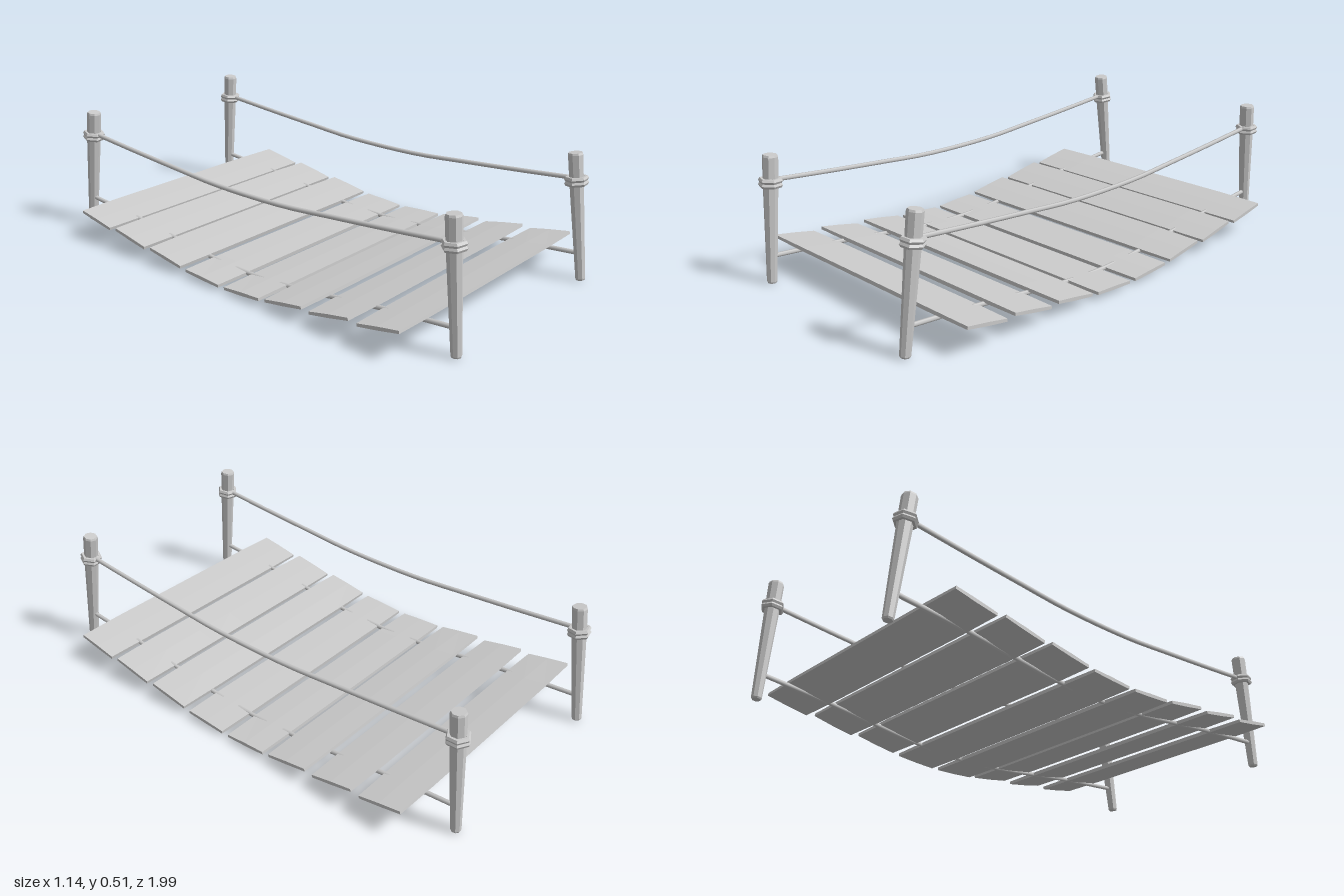
import * as THREE from 'three';

const material = new THREE.MeshStandardMaterial({ color: 0xcccccc, flatShading: true });
const smooth = new THREE.MeshStandardMaterial({ color: 0xcccccc });

function add(parent, geometry, name, mat = material) {
  const mesh = new THREE.Mesh(geometry, mat);
  mesh.name = name;
  parent.add(mesh);
  return mesh;
}

// Leaning, tapered post with a doubled rope collar
function post(x, zBottom, zTop, height, turn) {
  const group = new THREE.Group();
  group.name = 'post';
  const foot = new THREE.Vector3(x, 0.006, zBottom);
  const axis = new THREE.Vector3(x, height, zTop).sub(foot);
  const length = axis.length();
  group.position.copy(foot);
  group.quaternion.setFromUnitVectors(new THREE.Vector3(0, 1, 0), axis.normalize());

  const profile = [[0, 0], [0.017, 0], [0.02, 0.006], [0.029, length - 0.11],
    [0.03, length - 0.008], [0.027, length], [0, length]];
  const shaft = add(group, new THREE.LatheGeometry(profile.map(p => new THREE.Vector2(...p)), 8), 'postShaft');
  shaft.rotation.y = turn;
  for (const y of [0.388, 0.405]) {
    const coil = new THREE.TorusGeometry(0.036, 0.0105, 6, 6);
    coil.rotateX(Math.PI / 2);
    const ring = add(group, coil, 'ropeCollar');
    ring.position.y = y;
    ring.rotation.y = turn;
  }
  return group;
}

// Sagging rope, symmetric front to back; half is a list of [z, y]
function rope(x, half, name) {
  const mirrored = half.slice(1).map(([z, y]) => [-z, y]).reverse();
  const points = [...mirrored, ...half].map(([z, y]) => new THREE.Vector3(x, y, z));
  const geometry = new THREE.TubeGeometry(new THREE.CatmullRomCurve3(points), 24, 0.009, 6);
  geometry.name = name;
  return geometry;
}

// Worn board: thinner and slightly narrower towards its ends
function plankGeometry() {
  const geometry = new THREE.BoxGeometry(1.14, 0.018, 0.186, 6, 1, 2);
  const p = geometry.attributes.position;
  for (let i = 0; i < p.count; i++) {
    const end = Math.max(0, Math.abs(p.getX(i)) - 0.38) / 0.19;
    const edge = Math.abs(p.getZ(i)) / 0.093;
    p.setY(i, p.getY(i) * (1 - 0.2 * end) * (1 - 0.2 * edge));
    p.setZ(i, p.getZ(i) * (1 - 0.03 * end));
  }
  geometry.computeVertexNormals();
  return geometry;
}

export function createModel() {
  const model = new THREE.Group();
  model.name = 'ropeBridge';

  // Corner posts: x, foot z, top z, height, twist
  [[-0.412, -0.977, -0.918, 0.505, 0.2], [0.415, -0.963, -0.934, 0.508, 0.5],
    [-0.412, 0.956, 0.92, 0.508, 0.8], [0.415, 0.972, 0.906, 0.508, 0.1]]
    .forEach(p => model.add(post(...p)));

  // Handrail ropes and deck ropes
  for (const x of [-0.413, 0.415]) {
    add(model, rope(x, [[0, 0.346], [0.2, 0.35], [0.4, 0.365], [0.65, 0.385], [0.93, 0.41]]), 'handRope', smooth);
    add(model, rope(x, [[0, 0.024], [0.2, 0.033], [0.4, 0.055], [0.6, 0.08], [0.75, 0.095], [0.95, 0.112]]), 'deckRope', smooth);
  }

  // Deck planks, front and back: z, y, slope
  const board = plankGeometry();
  for (const side of [-1, 1]) {
    for (const [z, y, slope] of [[0.106, 0.027, 0.06], [0.316, 0.052, 0.16], [0.53, 0.076, 0.19], [0.745, 0.101, 0.18]]) {
      const plank = add(model, board, 'plank');
      plank.position.set(0, y, side * z);
      plank.rotation.x = -side * slope;
    }
  }
  return model;
}
